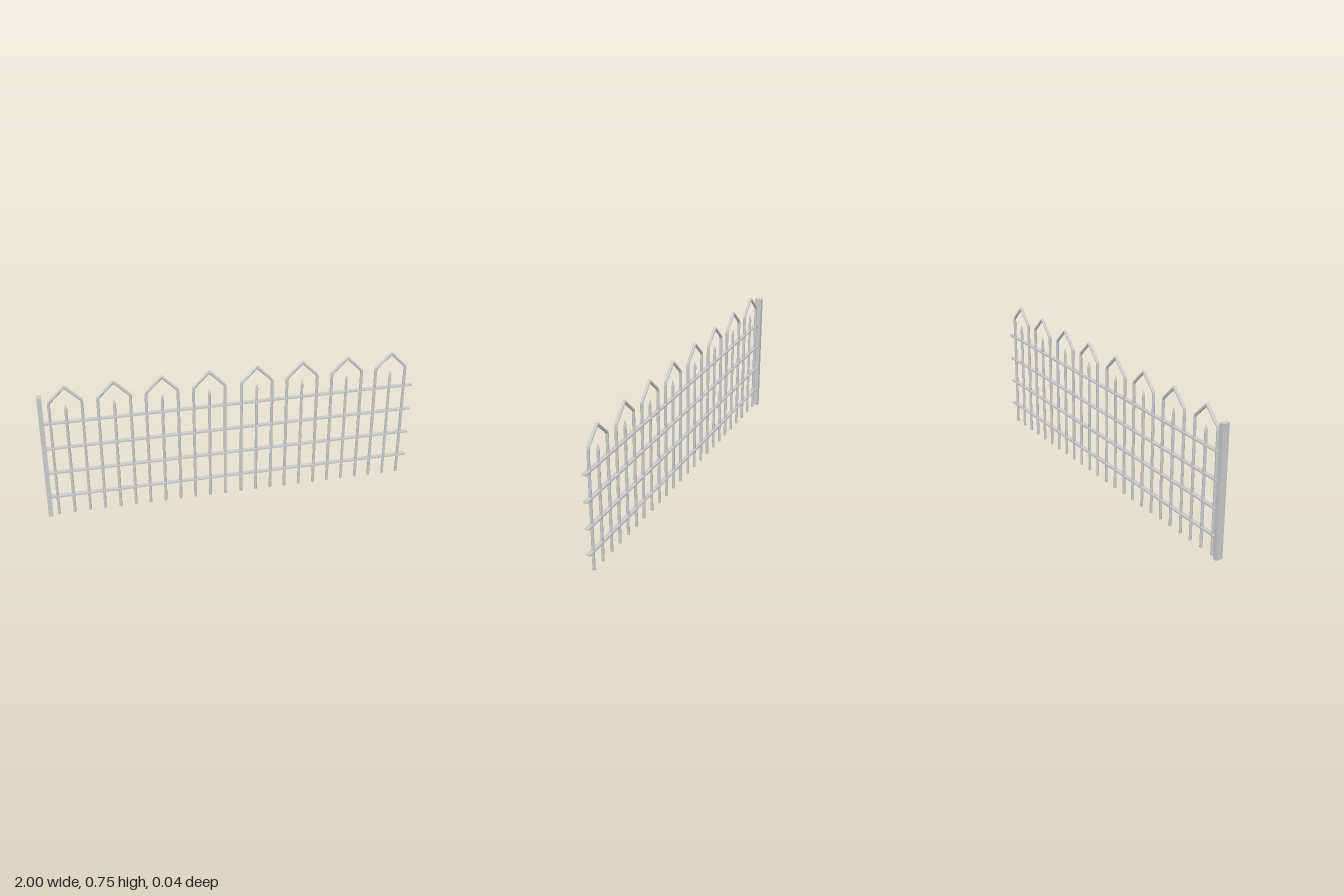
import * as THREE from 'three';

const R = 0.0078, SIDES = 8;

// Round bar following a path in the xy plane, with mitred corners and closed ends
function bentBar(points) {
  const path = points.map(([x, y]) => new THREE.Vector2(x, y));
  const pos = [], index = [];
  const dir = (a, b) => b.clone().sub(a).normalize();
  path.forEach((p, i) => {
    const before = dir(path[Math.max(i - 1, 0)], path[Math.max(i, 1)]);
    const after = i < path.length - 1 ? dir(p, path[i + 1]) : before;
    const t = before.clone().add(after).normalize();
    const miter = R / t.dot(before);
    for (let j = 0; j < SIDES; j++) {
      const a = (j + 0.5) / SIDES * Math.PI * 2;
      const m = Math.cos(a) * miter;
      pos.push(p.x - t.y * m, p.y + t.x * m, Math.sin(a) * R);
    }
  });
  const last = (path.length - 1) * SIDES;
  for (let i = 0; i < last; i += SIDES) {
    for (let j = 0; j < SIDES; j++) {
      const k = (j + 1) % SIDES;
      index.push(i + j, i + k, i + SIDES + k, i + j, i + SIDES + k, i + SIDES + j);
    }
  }
  for (let j = 1; j < SIDES - 1; j++) {
    index.push(0, j + 1, j, last, last + j, last + j + 1);
  }
  const g = new THREE.BufferGeometry();
  g.setAttribute('position', new THREE.Float32BufferAttribute(pos, 3));
  g.setIndex(index);
  g.computeVertexNormals();
  return g;
}

export function createModel() {
  const fence = new THREE.Group();
  fence.name = 'fence';
  const material = new THREE.MeshStandardMaterial({ color: 0xcccccc, flatShading: true });

  const add = (parent, name, geometry, x, y, z) => {
    const mesh = new THREE.Mesh(geometry, material);
    mesh.name = name;
    mesh.position.set(x, y, z);
    parent.add(mesh);
  };

  // Square end post
  add(fence, 'post', new THREE.BoxGeometry(0.024, 0.702, 0.038), -0.988, 0.351, 0);

  // Four flat horizontal rails
  const rail = new THREE.BoxGeometry(1.978, 0.008, 0.024);
  [0.111, 0.256, 0.401, 0.546].forEach((y, i) => add(fence, `rail${i + 1}`, rail, 0.011, y, 0));

  // Pointed hoops, each around a spiked centre bar
  const hoop = bentBar([
    [-0.083, 0], [-0.083, 0.655], [-0.079, 0.666], [0, 0.744],
    [0.079, 0.666], [0.083, 0.655], [0.083, 0],
  ]);
  const spike = new THREE.LatheGeometry([
    [0, 0], [R, 0], [R, 0.615], [0, 0.648],
  ].map(([x, y]) => new THREE.Vector2(x, y)), SIDES);
  [-0.861, -0.615, -0.369, -0.122, 0.132, 0.378, 0.625, 0.871].forEach((x, i) => {
    const picket = new THREE.Group();
    picket.name = `picket${i + 1}`;
    picket.position.x = x;
    add(picket, 'hoop', hoop, 0, 0, 0);
    add(picket, 'centreSpike', spike, 0, 0, 0);
    fence.add(picket);
  });

  return fence;
}
